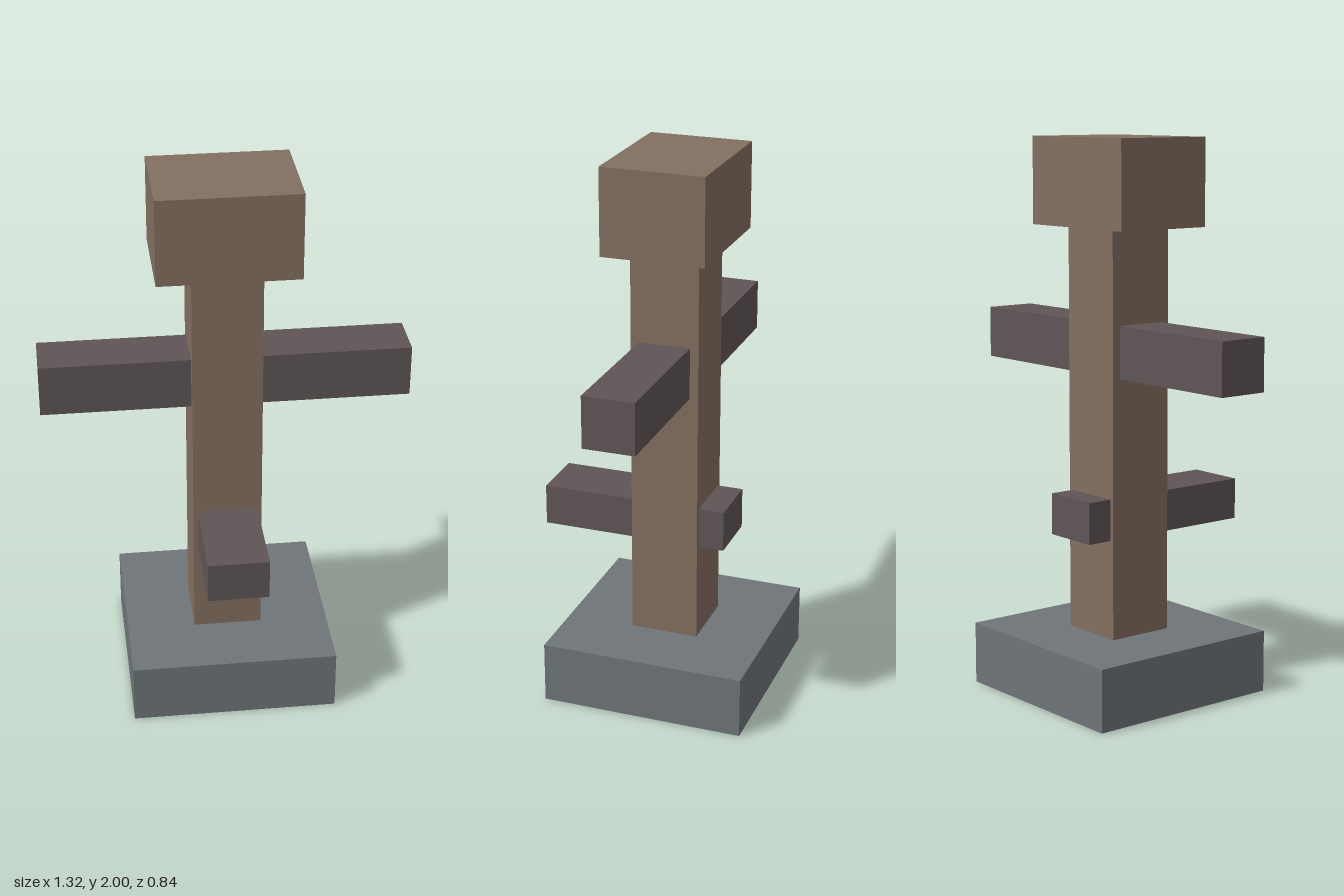
import * as THREE from 'three';

export function createModel() {
  const model = new THREE.Group();
  model.name = 'woodenPost';

  const stone = new THREE.MeshStandardMaterial({ color: 0x6e7578 });
  const wood = new THREE.MeshStandardMaterial({ color: 0x836f60 });
  const darkWood = new THREE.MeshStandardMaterial({ color: 0x5f5557 });

  // Box centred on x = 0, given its width and its y and z ranges
  function addBox(name, material, width, [y0, y1], [z0, z1]) {
    const mesh = new THREE.Mesh(new THREE.BoxGeometry(width, y1 - y0, z1 - z0), material);
    mesh.position.set(0, (y0 + y1) / 2, (z0 + z1) / 2);
    mesh.name = name;
    model.add(mesh);
  }

  // Square foot, upright post and the block on top
  addBox('base', stone, 0.75, [0, 0.225], [-0.422, 0.328]);
  addBox('post', wood, 0.25, [0.225, 1.688], [-0.172, 0.078]);
  addBox('topBlock', wood, 0.5, [1.688, 2], [-0.235, 0.14]);

  // Bars passing through the post: one sideways, one front to back
  addBox('crossBar', darkWood, 1.315, [1.163, 1.35], [-0.141, 0.047]);
  addBox('lowerBar', darkWood, 0.218, [0.585, 0.735], [-0.266, 0.422]);

  return model;
}
